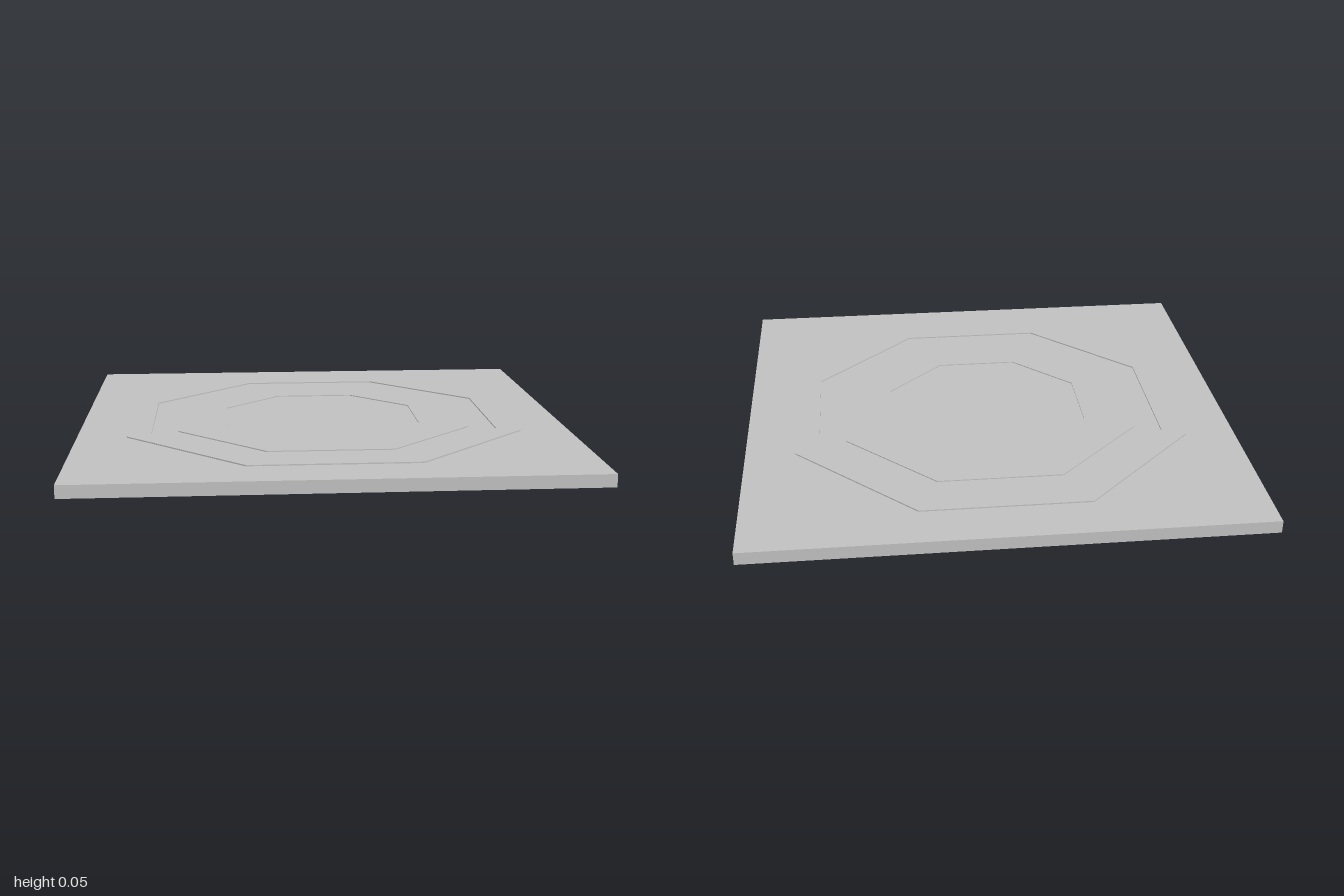
import * as THREE from 'three';

// Points of an octagon with flat sides facing the axes, given its half width
function octagon(halfWidth) {
  const r = halfWidth / Math.cos(Math.PI / 8);
  return Array.from({ length: 8 }, (_, i) => {
    const a = (i + 0.5) * Math.PI / 4;
    return new THREE.Vector2(r * Math.cos(a), r * Math.sin(a));
  });
}

// Octagonal ring lying flat between two heights
function octagonRing(name, outer, inner, bottom, top, material) {
  const shape = new THREE.Shape(octagon(outer));
  shape.holes.push(new THREE.Path(octagon(inner)));
  const geometry = new THREE.ExtrudeGeometry(shape, { depth: top - bottom, bevelEnabled: false });
  geometry.rotateX(-Math.PI / 2);
  geometry.translate(0, bottom, 0);
  const mesh = new THREE.Mesh(geometry, material);
  mesh.name = name;
  return mesh;
}

export function createModel() {
  const group = new THREE.Group();
  group.name = 'floorTile';
  const stone = new THREE.MeshStandardMaterial({ color: 0xc0c0c0, flatShading: true });
  stone.name = 'grey stone';

  // Square slab
  const slab = new THREE.Mesh(new THREE.BoxGeometry(2, 0.05, 2), stone);
  slab.name = 'slab';
  slab.position.y = 0.025;
  group.add(slab);

  // Two inlaid rings standing slightly proud of the slab
  group.add(octagonRing('outerRing', 0.8, 0.705, 0.002, 0.055, stone));
  group.add(octagonRing('innerRing', 0.598, 0.403, 0.042, 0.054, stone));
  return group;
}
